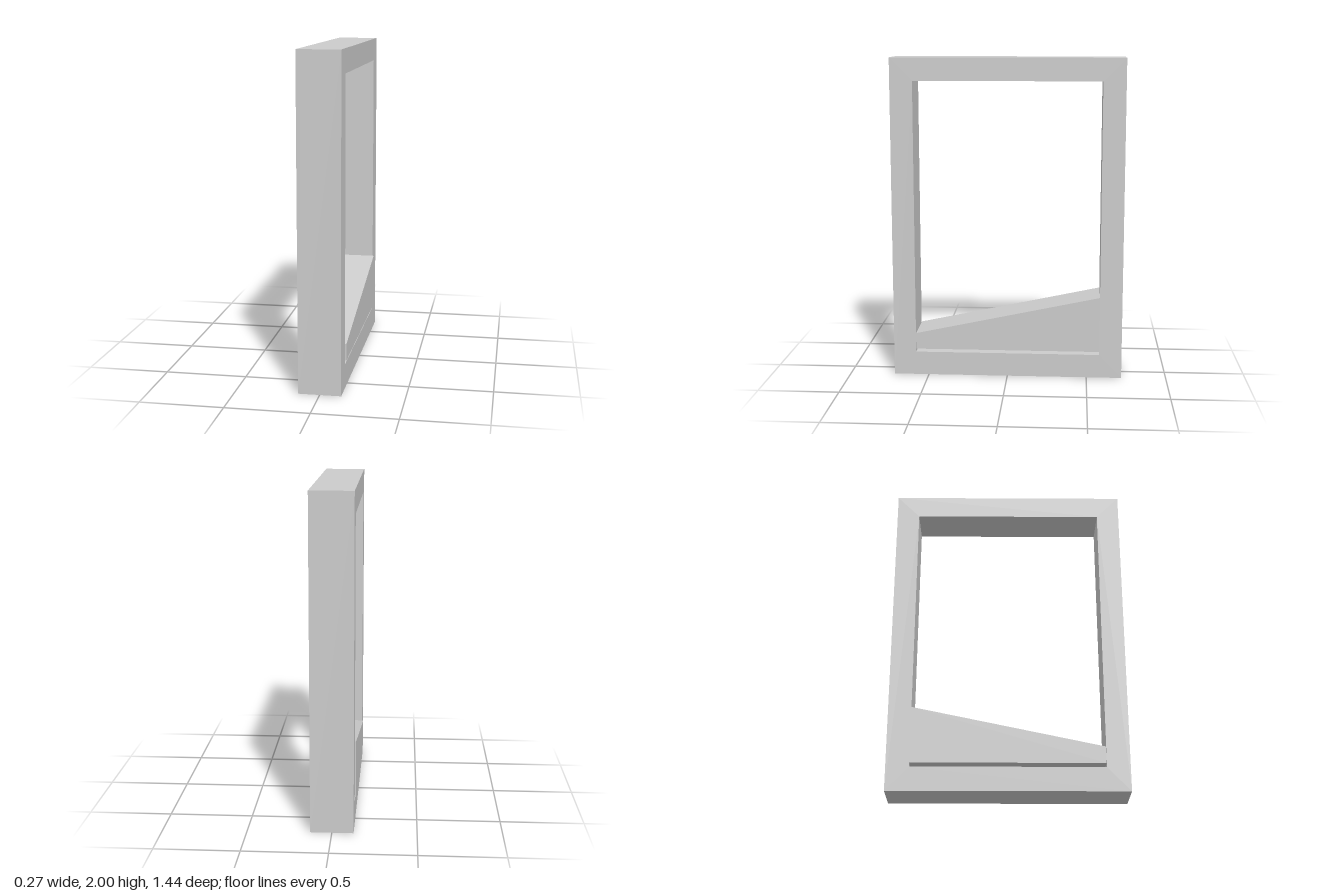
import * as THREE from 'three';

const grey = new THREE.MeshStandardMaterial({ color: 0xcccccc, flatShading: true });

// Closed outline from [z, y] points; the shape's x axis is -z
const trace = (path, points) => {
  points.forEach(([z, y], i) => (i ? path.lineTo(-z, y) : path.moveTo(-z, y)));
  path.closePath();
  return path;
};

const rectangle = (z, bottom, top) => [[z, bottom], [-z, bottom], [-z, top], [z, top]];

// Side profile extruded across x, centred on x = 0
function slab(name, shape, width) {
  const geometry = new THREE.ExtrudeGeometry(shape, { depth: width, bevelEnabled: false });
  geometry.translate(0, 0, -width / 2).rotateY(Math.PI / 2);
  const mesh = new THREE.Mesh(geometry, grey);
  mesh.name = name;
  return mesh;
}

export function createModel() {
  const model = new THREE.Group();
  model.name = 'framedWedge';

  // Upright rectangular frame with its opening
  const frame = trace(new THREE.Shape(), rectangle(0.72, 0, 2));
  frame.holes.push(trace(new THREE.Path(), rectangle(0.58, 0.148, 1.859)));
  model.add(slab('frame', frame, 0.256));

  // Sloping wedge, slightly wider than the frame, with a gap beneath it
  const wedge = trace(new THREE.Shape(), [[0.578, 0.17], [-0.58, 0.17], [-0.58, 0.52], [0.578, 0.272]]);
  model.add(slab('wedge', wedge, 0.271));

  return model;
}
